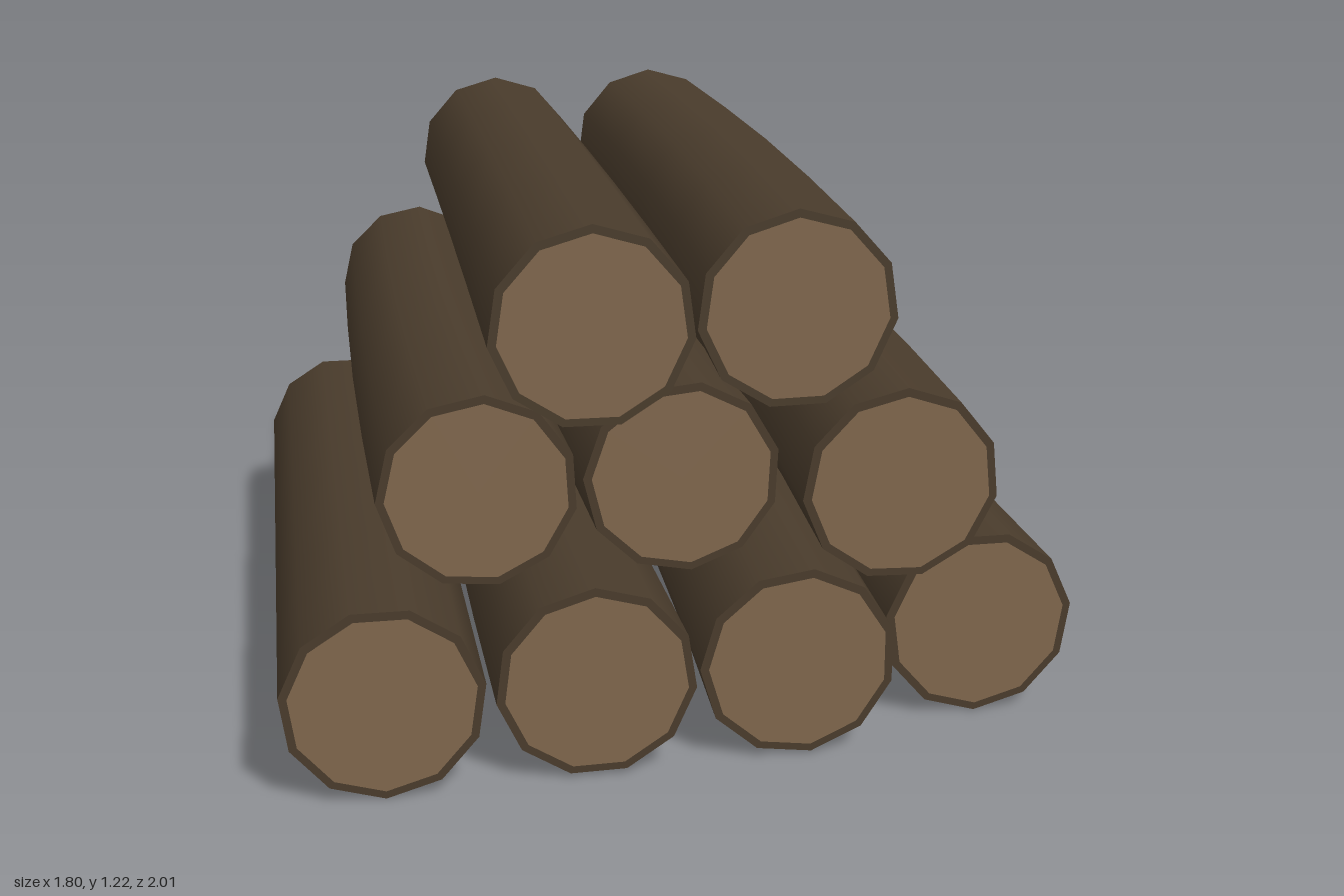
import * as THREE from 'three';

const SIDES = 11, LENGTH = 1.79, R_FRONT = 0.22, R_BACK = 0.206;

// x, y of the axis, z of the front end, sideways bow, upward bow, roll about the axis
const LOGS = [
  [-0.68, 0.227, 1.0, 0.0, 0.0, 0],
  [-0.222, 0.229, 0.975, -0.01, 0.0, 0.3],
  [0.228, 0.229, 0.95, 0.022, 0.0, 0.15],
  [0.683, 0.227, 0.81, -0.006, 0.0, 0],
  [-0.454, 0.616, 0.81, -0.012, -0.006, 0.2],
  [-0.003, 0.615, 0.79, -0.02, 0.0, 0.1],
  [0.455, 0.616, 0.915, 0.022, 0.0, 0.25],
  [-0.222, 1.007, 0.93, 0.0, 0.008, 0.28],
  [0.228, 1.007, 0.87, 0.022, 0.0, 0.3],
];

export function createModel() {
  const bark = new THREE.MeshStandardMaterial({ color: 0x4a3c2c });
  bark.name = 'bark';
  const cutWood = new THREE.MeshStandardMaterial({ color: 0x80674d });
  cutWood.name = 'cut wood';

  const pile = new THREE.Group();
  pile.name = 'logPile';

  LOGS.forEach(([x, y, front, bowX, bowY, roll], i) => {
    const log = new THREE.Group();
    log.name = `log${i + 1}`;
    log.position.set(x, y, front - LENGTH / 2);

    // tapered trunk, thicker at the front and bowed at the middle
    const trunk = new THREE.CylinderGeometry(R_FRONT, R_BACK, LENGTH, SIDES, 4);
    trunk.rotateX(Math.PI / 2).rotateZ(roll);
    const p = trunk.attributes.position;
    for (let k = 0; k < p.count; k++) {
      const bow = Math.cos((p.getZ(k) / LENGTH) * Math.PI);
      p.setX(k, p.getX(k) + bowX * bow);
      p.setY(k, p.getY(k) + bowY * bow);
    }
    const trunkMesh = new THREE.Mesh(trunk, bark);
    trunkMesh.name = 'trunk';
    log.add(trunkMesh);

    // pale sawn faces inside the bark rim
    for (const side of [1, -1]) {
      const radius = (side > 0 ? R_FRONT : R_BACK) * 0.915;
      const disc = new THREE.CircleGeometry(radius, SIDES, -Math.PI / 2);
      if (side < 0) disc.rotateY(Math.PI);
      disc.rotateZ(roll);
      const face = new THREE.Mesh(disc, cutWood);
      face.name = side > 0 ? 'frontCut' : 'backCut';
      face.position.z = side * (LENGTH / 2 + 0.003);
      log.add(face);
    }
    pile.add(log);
  });
  return pile;
}
